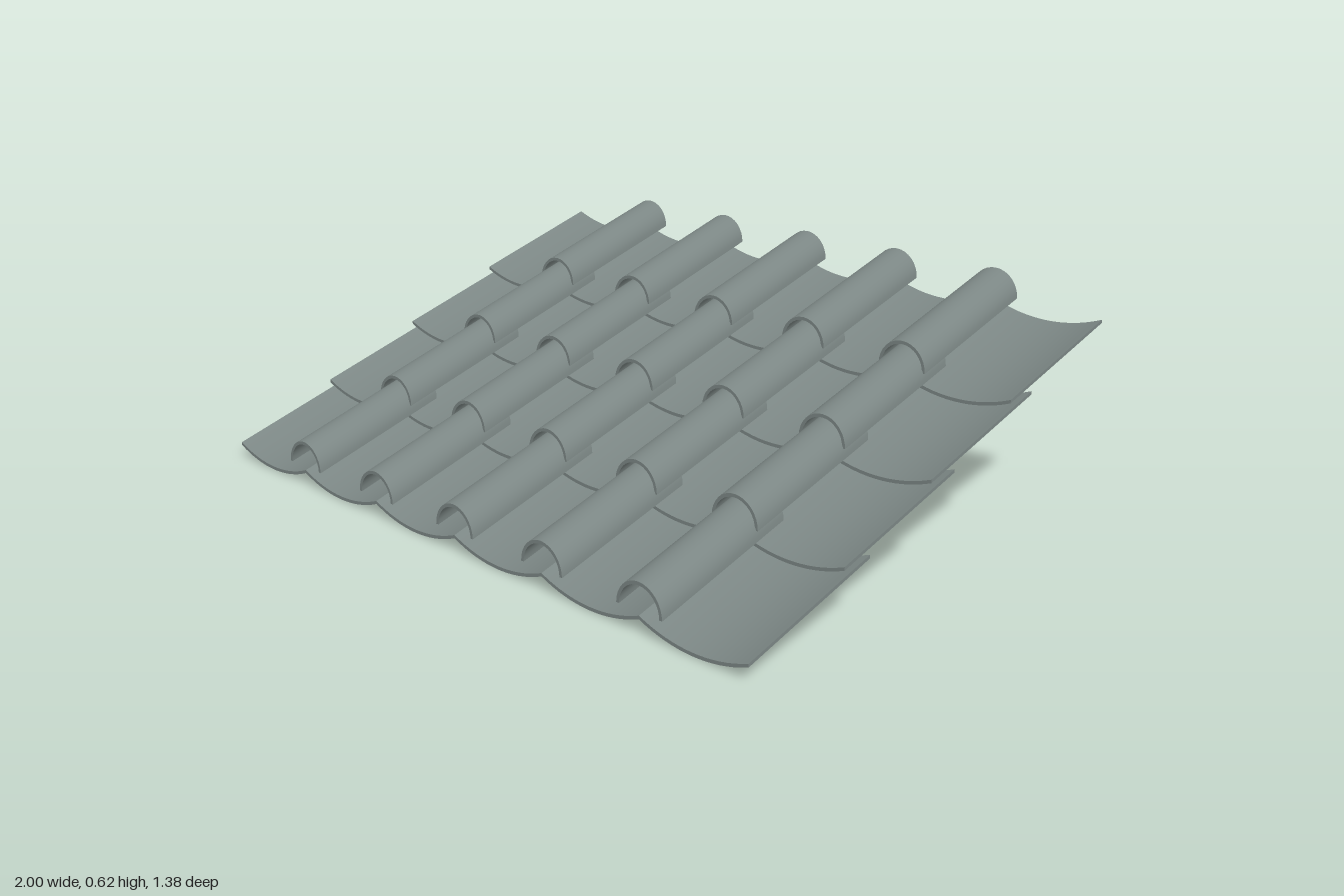
import * as THREE from 'three';
import { toCreasedNormals } from 'three/addons/utils/BufferGeometryUtils.js';

const LENGTH = 0.415;   // tile length along z
const SLOPE = 0.301;    // rise per unit of run
const ROWS = 4;
const COLUMNS = 6;
const PITCH = 2 / COLUMNS;
const STEP_Z = 0.3217;
const STEP_Y = 0.1233;
const FRONT_Z = 0.69;

// Closed strip made from a lower and an upper line of points
function stripShape(lower, upper) {
  return new THREE.Shape([...lower, ...upper.slice().reverse()]);
}

// Extrude a section backwards from z = 0 and shear it up the roof pitch
function tileGeometry(shape) {
  let geometry = new THREE.ExtrudeGeometry(shape, { depth: LENGTH, bevelEnabled: false });
  geometry.translate(0, 0, -LENGTH);
  const p = geometry.attributes.position;
  for (let i = 0; i < p.count; i++) p.setY(i, p.getY(i) - p.getZ(i) * SLOPE);
  geometry.computeVertexNormals();
  return toCreasedNormals(geometry, Math.PI / 5);
}

// Shallow trough section
function panShape() {
  const sag = 0.033, half = PITCH / 2, thickness = 0.009;
  const radius = (half * half + sag * sag) / (2 * sag);
  const lower = [], upper = [];
  for (let i = 0; i <= 16; i++) {
    const x = -half + (PITCH * i) / 16;
    const y = radius - Math.sqrt(radius * radius - x * x);
    lower.push(new THREE.Vector2(x, y));
    upper.push(new THREE.Vector2(x, y + thickness));
  }
  return stripShape(lower, upper);
}

// Half-round shell section
function capShape() {
  const base = 0.052, outer = 0.074, inner = 0.065;
  const lower = [], upper = [];
  for (let i = 0; i <= 16; i++) {
    const a = Math.PI * (1 - i / 16);
    lower.push(new THREE.Vector2(Math.cos(a) * inner, base + Math.sin(a) * inner));
    upper.push(new THREE.Vector2(Math.cos(a) * outer, base + Math.sin(a) * outer));
  }
  return stripShape(lower, upper);
}

export function createModel() {
  const model = new THREE.Group();
  model.name = 'tiledRoofSection';
  const slate = new THREE.MeshStandardMaterial({ color: 0x7b8684 });
  slate.name = 'slateGrey';

  const panGeometry = tileGeometry(panShape());
  const capGeometry = tileGeometry(capShape());

  for (let r = 0; r < ROWS; r++) {
    const row = new THREE.Group();
    row.name = `tileRow${r + 1}`;
    row.position.set(0, r * STEP_Y, FRONT_Z - r * STEP_Z);

    // Trough tiles side by side
    for (let c = 0; c < COLUMNS; c++) {
      const pan = new THREE.Mesh(panGeometry, slate);
      pan.name = 'panTile';
      pan.position.x = -1 + PITCH * (c + 0.5);
      row.add(pan);
    }
    // Cap tiles over the joints
    for (let c = 1; c < COLUMNS; c++) {
      const cap = new THREE.Mesh(capGeometry, slate);
      cap.name = 'capTile';
      cap.position.x = -1 + PITCH * c;
      row.add(cap);
    }
    model.add(row);
  }
  return model;
}
